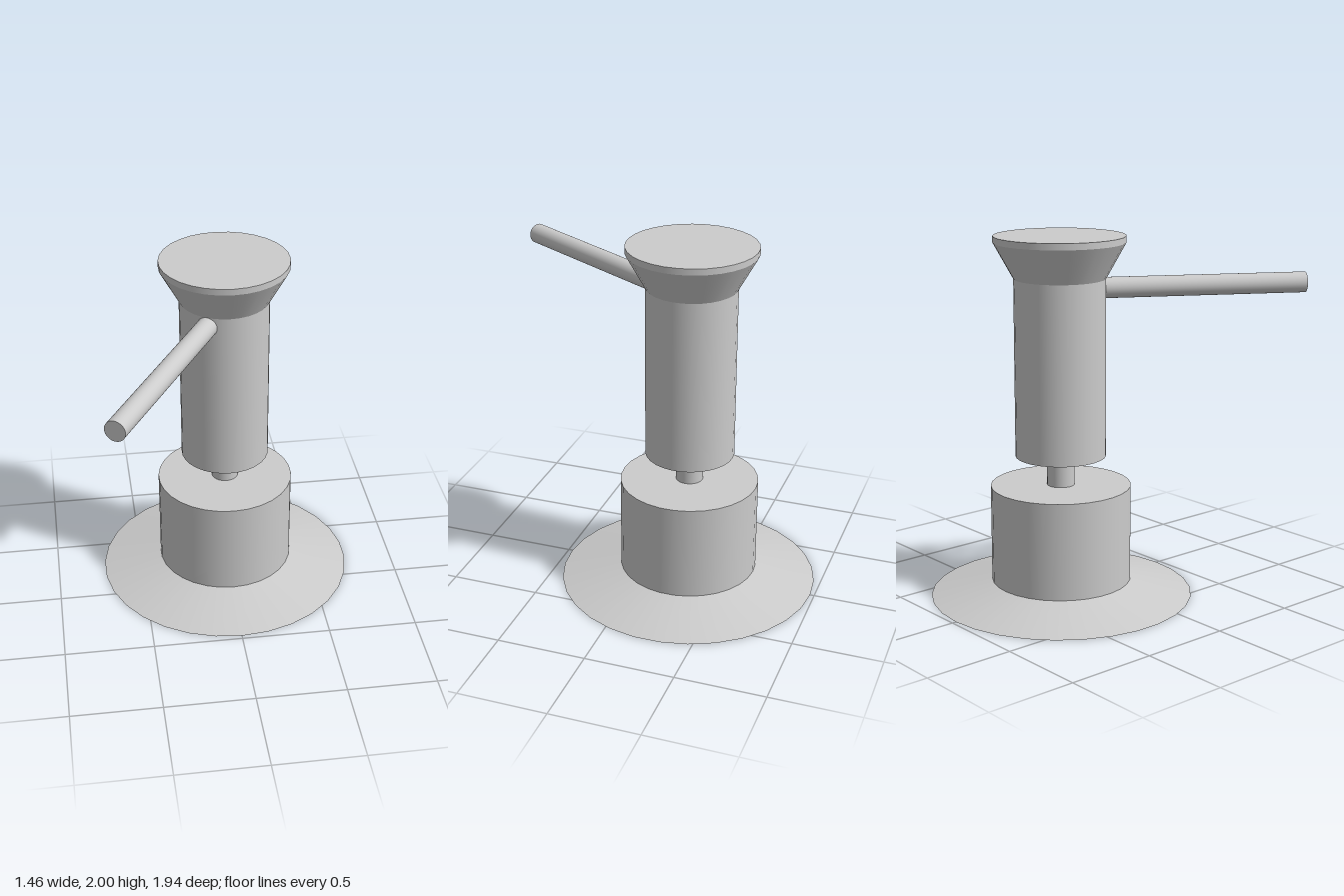
import * as THREE from 'three';

const SEGMENTS = 30;

export function createModel() {
  const model = new THREE.Group();
  model.name = 'pump';
  const material = new THREE.MeshStandardMaterial({ color: 0xcccccc });

  // All round parts share one vertical axis, set back from the centre
  const axis = new THREE.Group();
  axis.name = 'body';
  axis.position.set(0.002, 0, -0.25);
  model.add(axis);

  function addRound(name, bottomY, topY, bottomRadius, topRadius = bottomRadius) {
    const geometry = new THREE.CylinderGeometry(topRadius, bottomRadius, topY - bottomY, SEGMENTS);
    const mesh = new THREE.Mesh(geometry, material);
    mesh.name = name;
    mesh.position.y = (bottomY + topY) / 2;
    axis.add(mesh);
    return mesh;
  }

  // Flared foot and cap
  addRound('baseSkirt', 0, 0.085, 0.727, 0.387);
  addRound('cap', 0.085, 0.625, 0.387);

  // Thin stem with its collar
  addRound('stem', 0.625, 0.77, 0.076);
  addRound('collar', 0.77, 0.79, 0.125);

  // Plunger column widening to a flat head
  addRound('column', 0.79, 1.77, 0.249);
  addRound('headFlare', 1.77, 1.965, 0.249, 0.357);
  addRound('headRim', 1.965, 2, 0.357);

  // Straight spout pointing out to the front right, starting inside the column
  const start = 0.18, end = 1.37;
  const spoutPivot = new THREE.Group();
  spoutPivot.name = 'spout';
  spoutPivot.position.y = 1.713;
  spoutPivot.rotation.y = -Math.PI / 6;
  const spoutGeometry = new THREE.CylinderGeometry(0.057, 0.057, end - start, SEGMENTS);
  spoutGeometry.rotateX(Math.PI / 2);
  const spout = new THREE.Mesh(spoutGeometry, material);
  spout.name = 'spoutTube';
  spout.position.z = (start + end) / 2;
  spoutPivot.add(spout);
  axis.add(spoutPivot);

  return model;
}
